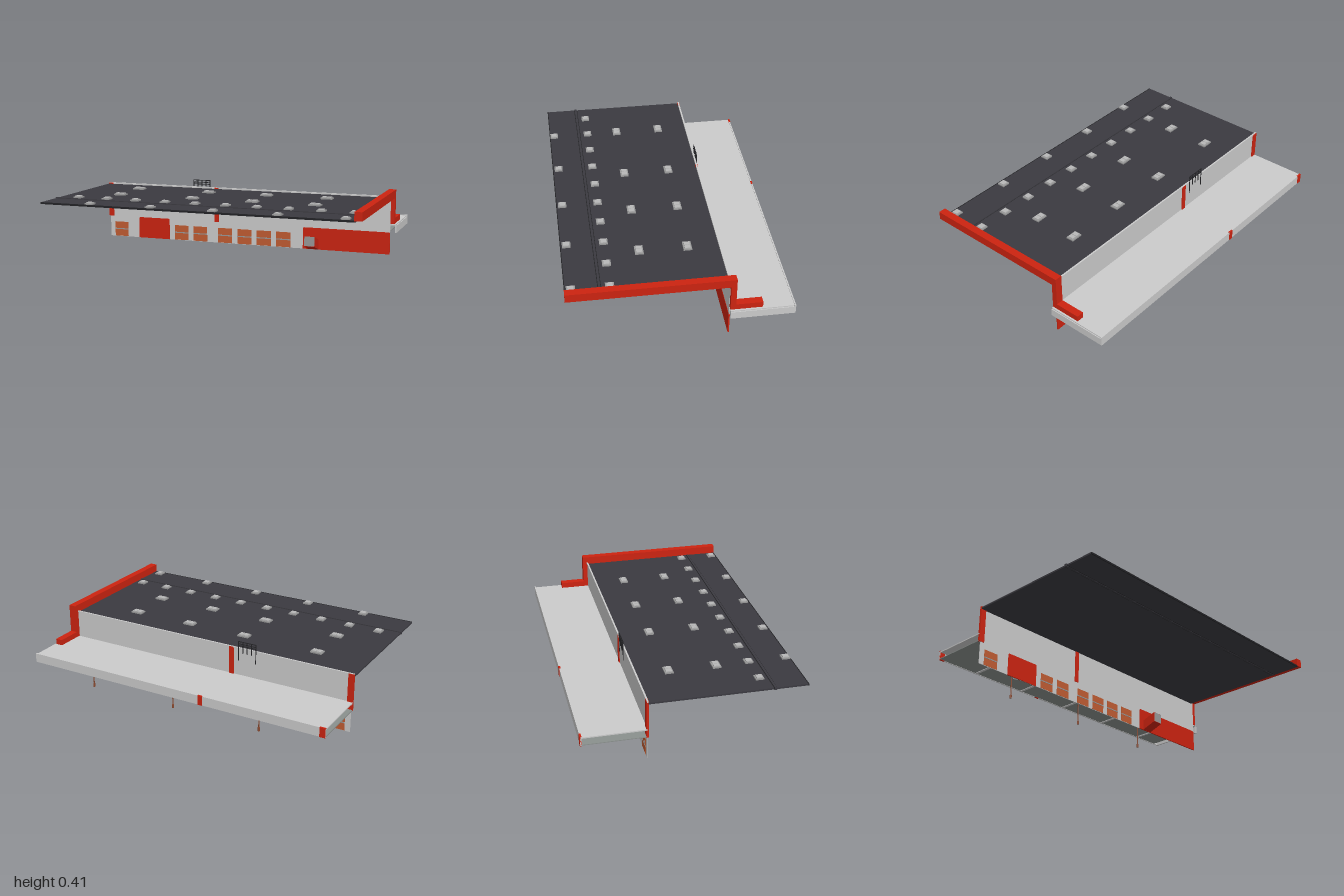
import * as THREE from 'three';

const mat = (name, color) => {
  const m = new THREE.MeshStandardMaterial({ color });
  m.name = name;
  return m;
};

export function createModel() {
  const red = mat('red cladding', 0xcc2310);
  const light = mat('light grey wall', 0xcbcbcb);
  const dark = mat('dark roofing', 0x3b3a40);
  const seam = mat('black trim', 0x232326);
  const orange = mat('orange door', 0xc05c32);
  const grey = mat('mid grey metal', 0x999999);
  const pane = mat('skylight pane', 0xb8b8b8);
  const soffitGrey = mat('soffit grey', 0x8a908d);
  const brown = mat('brown post', 0x8a4a30);
  const redSheet = mat('red sheet', 0xcc2310);
  redSheet.side = THREE.DoubleSide;

  const model = new THREE.Group();
  model.name = 'depot';

  // box given by its lower and upper limits on each axis
  const box = (name, m, x0, x1, y0, y1, z0, z1, parent = model) => {
    const mesh = new THREE.Mesh(new THREE.BoxGeometry(x1 - x0, y1 - y0, z1 - z0), m);
    mesh.position.set((x0 + x1) / 2, (y0 + y1) / 2, (z0 + z1) / 2);
    mesh.name = name;
    parent.add(mesh);
    return mesh;
  };

  // outline extruded along z, centred on the wall plane
  const plate = (name, m, shape, z, depth) => {
    const geo = new THREE.ExtrudeGeometry(shape, { depth, bevelEnabled: false, curveSegments: 4 });
    const mesh = new THREE.Mesh(geo, m);
    mesh.position.z = z - depth / 2;
    mesh.name = name;
    model.add(mesh);
  };

  const wallZ = -0.272;

  // red panel with rounded top corners
  const panelShape = (x0, x1, h, r) => {
    const s = new THREE.Shape();
    s.moveTo(x0, 0);
    s.lineTo(x1, 0);
    s.lineTo(x1, h - r);
    s.quadraticCurveTo(x1, h, x1 - r, h);
    s.lineTo(x0 + r, h);
    s.quadraticCurveTo(x0, h, x0, h - r);
    s.closePath();
    return s;
  };

  // roof slabs with a raised seam between them
  box('rearRoof', dark, -0.99, 0.945, 0.35, 0.36, -0.27, 0.437);
  box('frontRoof', dark, -0.99, 0.945, 0.35, 0.36, 0.458, 0.637);
  box('roofSeam', dark, -0.995, 0.945, 0.348, 0.364, 0.441, 0.454);
  box('roofSeamGutter', seam, -0.99, 0.945, 0.35, 0.358, 0.437, 0.458);
  box('roofEdge', seam, -0.99, 0.945, 0.35, 0.361, 0.637, 0.642);

  // skylights: a frame with one or two panes
  const skylight = (x, z, w, panes) => {
    const g = new THREE.Group();
    g.name = 'skylight';
    g.position.set(x, 0.36, z);
    const d = 0.05;
    box('skylightCurb', grey, -w / 2, w / 2, 0, 0.008, -d / 2, d / 2, g);
    const step = (w - 0.012) / panes;
    for (let i = 0; i < panes; i++) {
      const a = -w / 2 + 0.006 + i * step;
      box('skylightPane', pane, a + 0.002, a + step - 0.002, 0.006, 0.014, -d / 2 + 0.008, d / 2 - 0.008, g);
    }
    model.add(g);
  };
  for (const z of [-0.085, 0.195])
    for (const x of [-0.672, -0.182, 0.208, 0.6]) skylight(x, z, 0.074, 2);
  for (let i = 0; i < 10; i++) skylight(-0.865 + i * 0.1945, 0.39, 0.05, 1);
  for (let i = 0; i < 5; i++) skylight(-0.67 + i * 0.389, i ? 0.605 : 0.613, 0.05, 1);

  // rear wall
  box('upperWall', light, -0.985, 0.96, 0.138, 0.36, wallZ - 0.002, wallZ + 0.002);
  box('lowerWall', light, -0.98, 0.4, 0, 0.138, wallZ - 0.002, wallZ + 0.002);
  box('wallCoping', light, -0.99, 0.945, 0.36, 0.37, wallZ - 0.006, wallZ + 0.004);
  plate('smallRedPanel', red, panelShape(-0.765, -0.54, 0.14, 0.01), wallZ, 0.008);
  const entry = panelShape(0.395, 0.96, 0.14, 0.01);
  const hole = new THREE.Path();
  hole.moveTo(0.432, 0.001);
  hole.lineTo(0.432, 0.065);
  hole.lineTo(0.498, 0.065);
  hole.lineTo(0.498, 0.001);
  hole.closePath();
  entry.holes.push(hole);
  plate('largeRedPanel', red, entry, wallZ, 0.008);

  // sloping entrance passage, open towards the rear
  const passage = new THREE.BoxGeometry(0.07, 0.065, 0.098);
  const p = passage.attributes.position;
  for (let i = 0; i < p.count; i++) if (p.getZ(i) > 0) p.setY(i, p.getY(i) + 0.035);
  passage.computeVertexNormals();
  const hidden = mat('open end', 0xcc2310);
  hidden.visible = false;
  const passageMesh = new THREE.Mesh(passage, [redSheet, redSheet, redSheet, redSheet, redSheet, hidden]);
  passageMesh.position.set(0.465, 0.0325, -0.221);
  passageMesh.name = 'entrancePassage';
  model.add(passageMesh);
  box('passageDoor', grey, 0.432, 0.498, 0.037, 0.099, -0.176, -0.171);

  // loading doors showing on both sides of the wall
  for (const x of [-0.897, -0.452, -0.317, -0.14, -0.005, 0.13, 0.263]) {
    const g = new THREE.Group();
    g.name = 'loadingDoor';
    g.position.set(x, 0, wallZ);
    box('doorLeaf', orange, -0.049, 0.049, 0.002, 0.1, -0.004, 0.004, g);
    box('doorRail', grey, -0.049, 0.049, 0.048, 0.055, -0.006, 0.006, g);
    for (const s of [-1, 1])
      box('doorPane', grey, s * 0.022 - 0.006, s * 0.022 + 0.006, 0.066, 0.076, -0.006, -0.003, g);
    model.add(g);
  }
  box('utilityBox', light, -0.705, -0.675, 0, 0.045, -0.29, -0.274);

  // canopy over the loading side
  box('canopyTop', light, -0.99, 0.995, 0.186, 0.193, -0.64, -0.272);
  box('canopyFascia', light, -0.99, 1, 0.14, 0.197, -0.645, -0.637);
  box('canopyEnd', light, 0.99, 1, 0.14, 0.186, -0.64, -0.272);
  box('canopySoffit', soffitGrey, -0.99, 0.955, 0.142, 0.147, -0.637, -0.274);
  for (let i = 0; i < 5; i++) {
    const x = 0.77 - i * 0.37;
    box('canopyBeam', light, x - 0.008, x + 0.008, 0.138, 0.143, -0.637, -0.274);
  }

  // canopy posts with wider feet
  for (const x of [0.65, 0.065, -0.52]) {
    const post = new THREE.Mesh(new THREE.CylinderGeometry(0.0035, 0.0035, 0.142, 10), brown);
    post.position.set(x, 0.071, -0.521);
    post.name = 'canopyPost';
    const foot = new THREE.Mesh(new THREE.CylinderGeometry(0.007, 0.007, 0.022, 10), brown);
    foot.position.set(x, 0.011, -0.521);
    foot.name = 'postFoot';
    model.add(post, foot);
  }

  // red vertical strips on the wall and matching blocks on the fascia
  for (const [a, b] of [[-0.99, -0.955], [-0.215, -0.185]]) {
    box('wallStrip', red, a, b, 0.14, 0.368, wallZ - 0.008, wallZ + 0.006);
    box('fasciaBlock', red, a, b, 0.139, 0.198, -0.647, -0.636);
  }

  // stepped red frame running over the roof and down to the canopy
  const frame = new THREE.Shape();
  [[-0.643, 0.358], [0.272, 0.358], [0.272, 0.195], [0.458, 0.195], [0.458, 0.23],
    [0.304, 0.23], [0.304, 0.409], [-0.643, 0.409]].forEach(([x, y], i) =>
    i ? frame.lineTo(x, y) : frame.moveTo(x, y));
  const frameMesh = new THREE.Mesh(
    new THREE.ExtrudeGeometry(frame, { depth: 0.045, bevelEnabled: false }), red);
  frameMesh.rotation.y = Math.PI / 2;
  frameMesh.position.x = 0.94;
  frameMesh.name = 'steppedFrame';
  model.add(frameMesh);

  // open metal rack at the roof edge
  for (const y of [0.386, 0.398, 0.412])
    box('rackRail', seam, -0.37, -0.248, y - 0.002, y + 0.002, -0.283, -0.279);
  for (let i = 0; i < 5; i++) {
    const x = -0.367 + i * 0.029;
    box('rackUpright', seam, x - 0.002, x + 0.002, i % 4 ? 0.34 : 0.29, 0.414, -0.284, -0.28);
  }

  return model;
}
